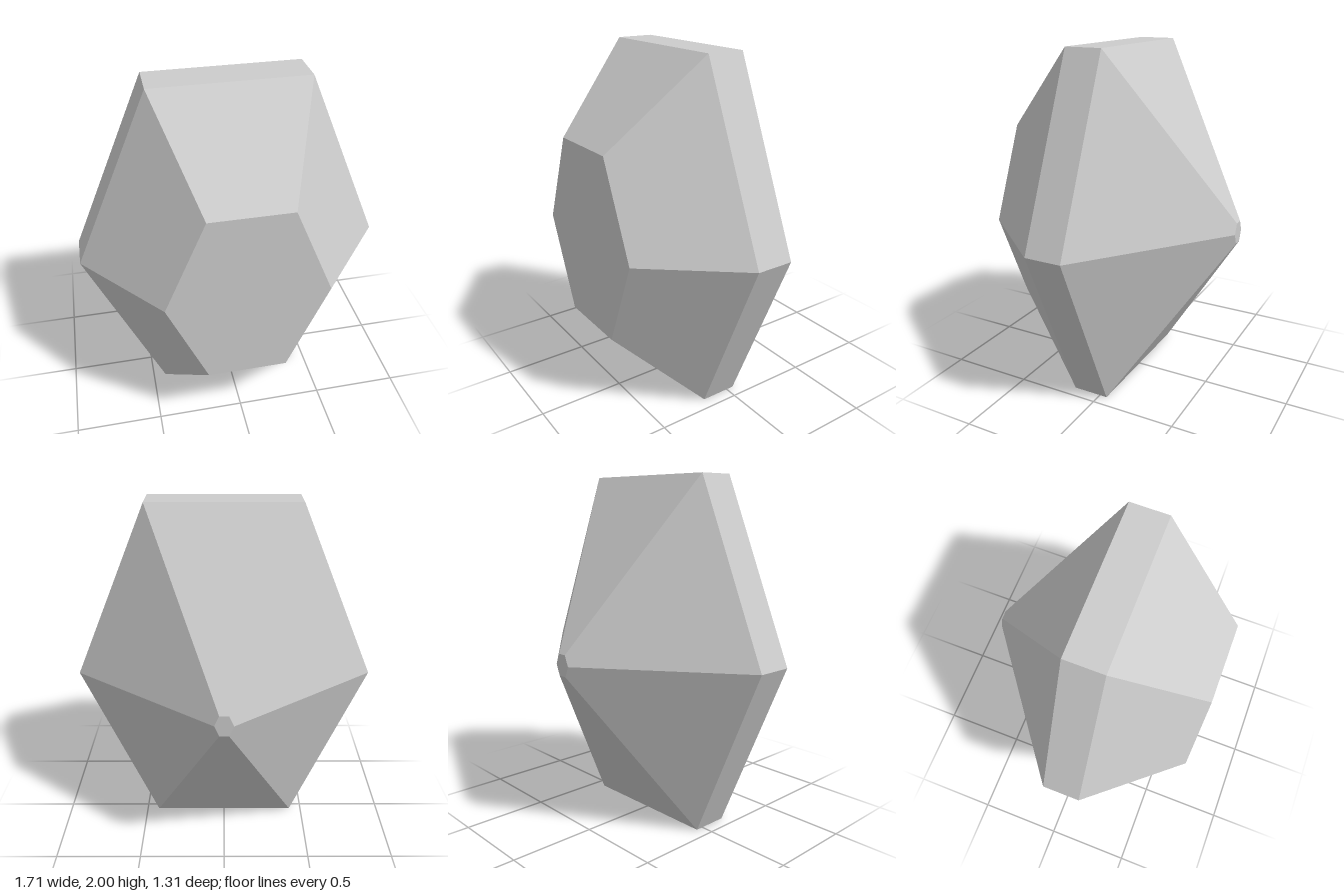
import * as THREE from 'three';

// Six-sided gem outline at depth z, counter-clockwise seen from the front
function ring(scale, z) {
  return Array.from({ length: 6 }, (_, i) => {
    const a = (i * Math.PI) / 3;
    return [0.853 * scale * Math.cos(a), 1 + (scale * Math.sin(a)) / Math.sin(Math.PI / 3), z];
  });
}

function facetMesh(name, triangles, material) {
  const geometry = new THREE.BufferGeometry();
  geometry.setAttribute('position', new THREE.Float32BufferAttribute(triangles.flat(), 3));
  geometry.computeVertexNormals();
  const mesh = new THREE.Mesh(geometry, material);
  mesh.name = name;
  return mesh;
}

// Band of six flat facets from a front ring to the ring behind it
function band(name, front, back, material) {
  const tris = [];
  for (let i = 0; i < 6; i++) {
    const j = (i + 1) % 6;
    tris.push(front[i], back[i], back[j], front[i], back[j], front[j]);
  }
  return facetMesh(name, tris, material);
}

// Flat hexagonal facet closing a ring
function cap(name, points, material) {
  const tris = [];
  for (let i = 1; i < 5; i++) tris.push(points[0], points[i], points[i + 1]);
  return facetMesh(name, tris, material);
}

export function createModel() {
  const stone = new THREE.MeshStandardMaterial({ color: 0xcccccc });
  stone.name = 'pale grey stone';

  const tableRing = ring(0.521, 0.655);
  const girdleFront = ring(1, 0.168);
  const girdleBack = ring(1, -0.045);
  const culetRing = ring(0.06, -0.655);

  const gem = new THREE.Group();
  gem.name = 'gem';
  gem.add(
    cap('table', tableRing, stone),
    band('crown', tableRing, girdleFront, stone),
    band('girdle', girdleFront, girdleBack, stone),
    band('pavilion', girdleBack, culetRing, stone),
    cap('culet', [...culetRing].reverse(), stone),
  );
  return gem;
}
